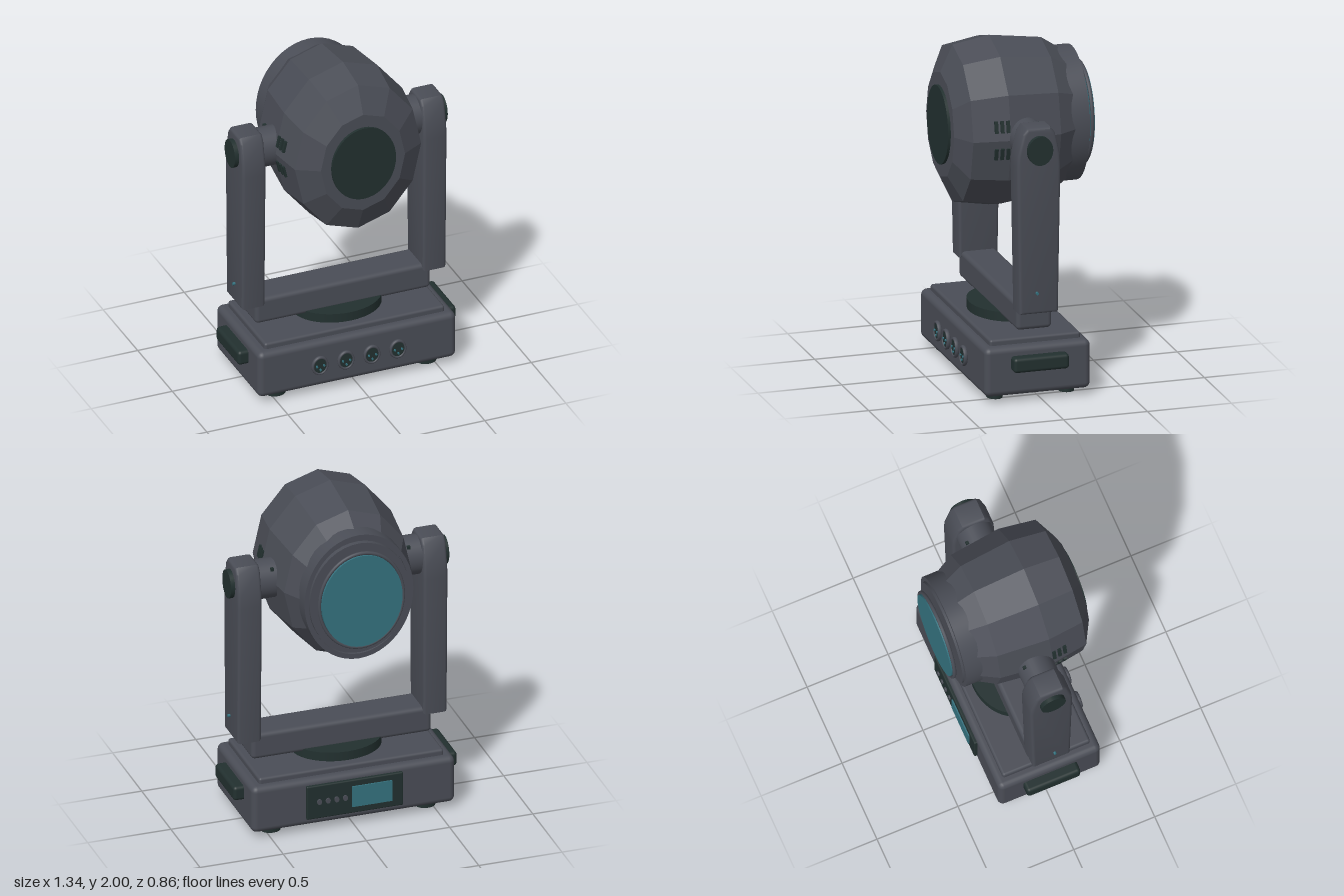
import * as THREE from 'three';
import { toCreasedNormals } from 'three/addons/utils/BufferGeometryUtils.js';
import { RoundedBoxGeometry } from 'three/addons/geometries/RoundedBoxGeometry.js';

export function createModel() {
  const model = new THREE.Group();
  model.name = 'movingHeadLight';

  const mat = (name, color) => {
    const m = new THREE.MeshStandardMaterial({ color });
    m.name = name;
    return m;
  };
  const grey = mat('housingGrey', 0x4a4d56);
  const dark = mat('darkTrim', 0x22302f);
  const teal = mat('glassTeal', 0x35727f);

  const add = (name, geo, material, x = 0, y = 0, z = 0, parent = model) => {
    const m = new THREE.Mesh(geo, material);
    m.name = name;
    m.position.set(x, y, z);
    parent.add(m);
    return m;
  };
  const rounded = (w, h, d, r) => new RoundedBoxGeometry(w, h, d, 3, r);
  // Elliptical discs lying along each axis
  const discY = (rx, rz, h) => new THREE.CylinderGeometry(1, 1, h, 40).scale(rx, 1, rz);
  const discZ = (rx, ry, d) => new THREE.CylinderGeometry(1, 1, d, 40).rotateX(Math.PI / 2).scale(rx, ry, 1);
  const discX = (ry, rz, w) => new THREE.CylinderGeometry(1, 1, w, 32).rotateZ(Math.PI / 2).scale(1, ry, rz);
  const CZ = 0.025; // shared centre line of base and yoke
  const HY = 1.495; // height of the tilt axis
  const SX = 0.832; // head is narrower than tall

  // Base
  add('baseHousing', rounded(1.22, 0.29, 0.63, 0.035), grey, 0, 0.185, CZ);
  add('baseTopPlate', rounded(1.11, 0.07, 0.54, 0.015), grey, 0, 0.33, CZ);
  add('panBearing', discY(0.265, 0.215, 0.06), dark, 0, 0.39, CZ);
  for (const sx of [-1, 1]) {
    for (const z of [0.24, -0.185])
      add('foot', discY(0.057, 0.046, 0.05), dark, sx * 0.465, 0.025, z);
    add('carryHandle', rounded(0.08, 0.088, 0.33, 0.02), dark, sx * 0.632, 0.233, 0.022);
  }

  // Front sockets with three pins each
  for (const x of [-0.24, -0.08, 0.08, 0.24]) {
    const socket = new THREE.Group();
    socket.name = 'socket';
    socket.position.set(x, 0.185, 0.34);
    model.add(socket);
    add('socketRim', new THREE.TorusGeometry(0.046, 0.008, 8, 32).scale(0.96, 1.12, 1.6), grey, 0, 0, 0.012, socket);
    add('socketFace', discZ(0.042, 0.049, 0.03), dark, 0, 0, 0.004, socket);
    for (let i = 0; i < 3; i++) {
      const a = Math.PI / 2 * (i + 2);
      add('socketPin', discZ(0.006, 0.007, 0.008), teal, Math.cos(a) * 0.022, -Math.sin(a + Math.PI) * 0.025, 0.022, socket);
    }
  }

  // Rear control panel
  add('controlPanel', rounded(0.58, 0.21, 0.03, 0.008), dark, 0, 0.19, -0.293);
  add('displayScreen', new THREE.BoxGeometry(0.24, 0.13, 0.009), teal, -0.1, 0.192, -0.311);
  for (let i = 0; i < 4; i++)
    add('panelButton', discZ(0.014, 0.017, 0.012), grey, 0.06 + i * 0.052, 0.192, -0.311);

  // Yoke: cross beam and two tapered arms
  add('yokeBeam', rounded(1.08, 0.16, 0.21, 0.025), grey, 0, 0.48, CZ);
  const b = 0.018;
  const armShape = new THREE.Shape([
    [-0.1125, 0.52], [0.1125, 0.52], [0.13, 1.4], [0.125, 1.475], [0.092, 1.6],
    [0.07, 1.625], [-0.07, 1.625], [-0.092, 1.6], [-0.125, 1.475], [-0.13, 1.4],
  ].map(([u, y]) => new THREE.Vector2(u * (1 - b / 0.13), 1.07 + (y - 1.07) * (1 - b / 0.55))));
  const armGeo = toCreasedNormals(new THREE.ExtrudeGeometry(armShape, {
    depth: 0.145 - 2 * b, bevelEnabled: true, bevelSize: b, bevelThickness: b, bevelSegments: 3,
  }).translate(0, 0, -(0.145 - 2 * b) / 2).rotateY(Math.PI / 2), 0.6);

  for (const sx of [-1, 1]) {
    add('yokeArm', armGeo, grey, sx * 0.558, 0, CZ);
    add('tiltAxleCap', discX(0.086, 0.075, 0.04), dark, sx * 0.636, HY, CZ);
    add('tiltHub', discX(0.118, 0.107, 0.14), grey, sx * 0.44, HY, CZ);
    add('hubScrew', new THREE.BoxGeometry(0.018, 0.018, 0.018), dark, sx * 0.41, HY + 0.088, -0.05);
    add('statusLight', discX(0.009, 0.008, 0.02), teal, sx * 0.635, 0.645, 0.04);
    // Cooling slots on the flanks of the head
    for (const sy of [-1, 1]) for (let i = 0; i < 3; i++) {
      const slot = add('coolingSlot', new THREE.BoxGeometry(0.016, 0.07, 0.02), dark,
        sx * (0.402 - i * 0.004), HY + sy * 0.08, 0.137 + i * 0.034);
      slot.rotation.z = sx * sy * 0.22;
    }
  }

  // Lamp head: faceted twelve-sided shell, lathed about the z axis
  const head = new THREE.Group();
  head.name = 'lampHead';
  head.position.y = HY;
  model.add(head);
  const lathe = (pts, n) => new THREE.LatheGeometry(pts.map(p => new THREE.Vector2(...p)), n)
    .rotateX(Math.PI / 2).scale(SX, 1, 1);
  const shell = lathe([[0, -0.3], [0.385, -0.3], [0.462, -0.185], [0.505, 0.123], [0.468, 0.34], [0.312, 0.413], [0, 0.413]], 12).toNonIndexed();
  shell.computeVertexNormals();
  add('headShell', shell, grey, 0, 0, 0, head);
  add('frontCover', discZ(0.197, 0.23, 0.03), dark, 0, 0, 0.414, head);

  // Rear bezel, stepped plate, lens ring and lens
  add('rearBezel', toCreasedNormals(lathe([[0, -0.355], [0.362, -0.355], [0.362, -0.372], [0.393, -0.372], [0.393, -0.25], [0, -0.25]], 48), 0.6), grey, 0, 0, 0, head);
  add('bezelStep', discZ(0.3, 0.347, 0.04), grey, 0, 0, -0.364, head);
  add('lensRing', new THREE.TorusGeometry(0.297, 0.011, 10, 56).scale(0.85, 1, 1), grey, 0, 0, -0.414, head);
  add('lens', discZ(0.242, 0.288, 0.022), teal, 0, 0, -0.42, head);
  return model;
}
